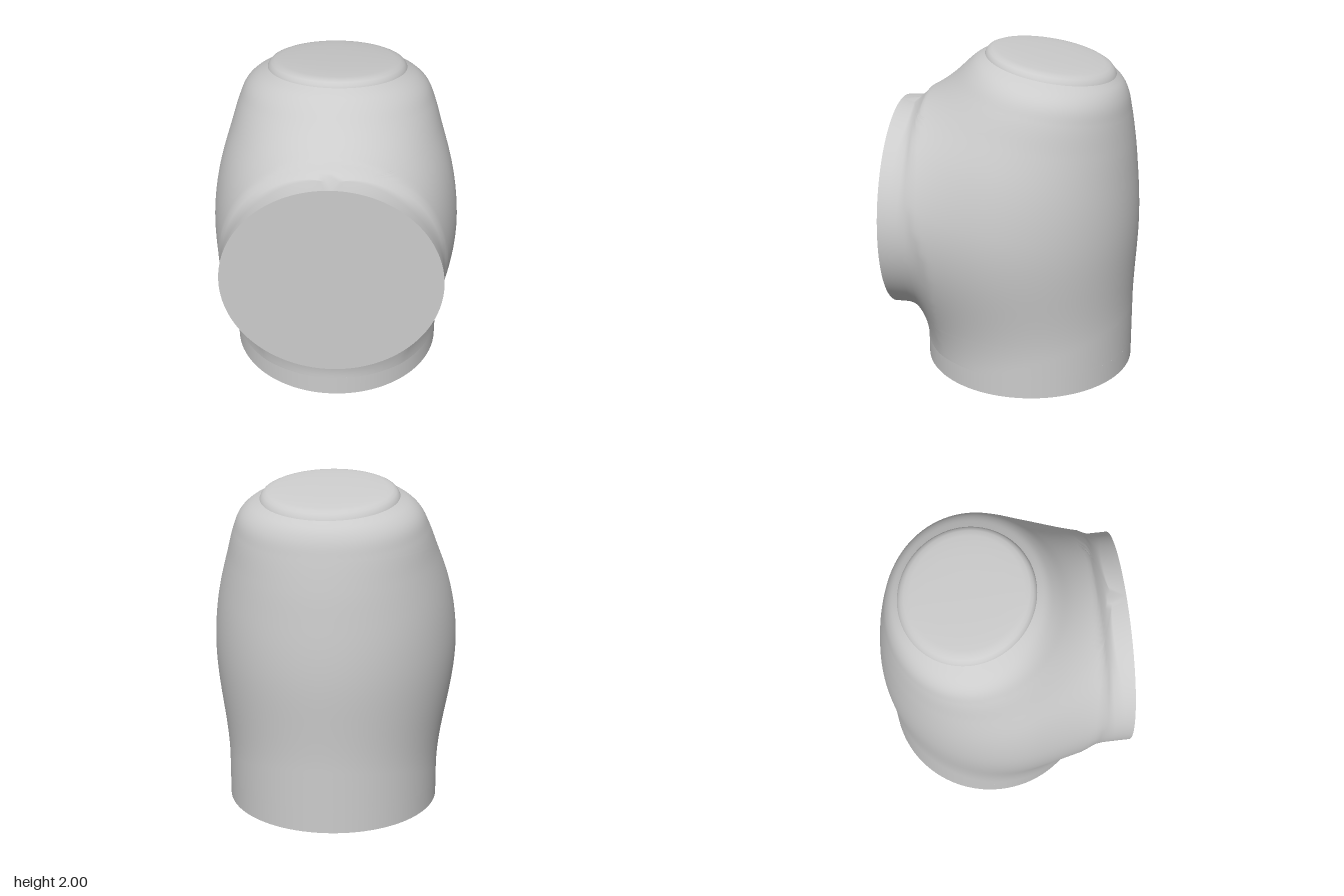
import * as THREE from 'three';
import { mergeVertices } from 'three/addons/utils/BufferGeometryUtils.js';

const R = 0.645;            // radius of the base and of the front opening
const MID = 0.985;          // height of the horizontal branch axis
const FRONT = 0.73;         // plane of the front face
const BASE_Z = -0.065;      // axis of the upright branch
const BAND = 0.13;          // height of the base band
const RIM = 1.965;          // height of the top rim (at its front)
const TILT = 0.165;         // slope of the top

// Upright branch: half width, back z and front z against height
const upright = new THREE.CubicInterpolant(
  [0, 0.8, 1.1, 1.4, 1.6, 1.78, 1.88, 1.93, RIM],
  [
    R, -0.71, 0.58,
    R, -0.71, 0.58,
    R, -0.71, 0.58,
    0.638, -0.70, 0.54,
    0.612, -0.69, 0.46,
    0.575, -0.665, 0.36,
    0.53, -0.64, 0.295,
    0.475, -0.61, 0.25,
    0.41, -0.57, 0.2,
  ], 3);

const slope = (z) => TILT * (z - 0.2);

// Smooth union of the upright branch and a round-ended horizontal branch
function field(x, y, z) {
  const s = THREE.MathUtils.clamp(y - slope(z), 0, RIM);
  const [rx, back, front] = upright.evaluate(s);
  const d1 = (Math.hypot(x / rx, (z - (back + front) / 2) / ((front - back) / 2)) - 1) * rx;
  const d2 = Math.hypot(x, y - MID, Math.min(0, z - 0.15)) - R;
  const fade = 0.3 - 0.12 * THREE.MathUtils.smoothstep(y, 0.7, 1.3);
  const k = 0.4 * THREE.MathUtils.clamp((FRONT - z) / fade, 1e-4, 1);
  const h = Math.max(0, k - Math.abs(d1 - d2));
  return Math.min(d1, d2) - h * h / (4 * k);
}

// One loop around the body, open at the front where the opening cuts it
function section(Y, segments) {
  const zc = BASE_Z - 0.12 * THREE.MathUtils.smoothstep(Y, 1, RIM);
  const a = THREE.MathUtils.smoothstep(Y, MID + R, RIM);
  const w = Math.sqrt(Math.max(0, R * R - (Y - MID) ** 2));
  const open = Math.abs(Y - MID) <= R + 1e-9;
  const start = open ? Math.atan2(w, FRONT - zc) : 0;
  const loop = [];
  for (let j = 0; j <= segments; j++) {
    if (open && (j === 0 || j === segments)) {
      loop.push([j ? -w : w, Y, FRONT]);
      continue;
    }
    const t = j === segments ? 0 : start + (2 * Math.PI - 2 * start) * j / segments;
    const at = (r) => {
      const z = Math.min(FRONT, zc + r * Math.cos(t));
      return [r * Math.sin(t), Y + a * slope(z), z];
    };
    let lo = 0.05, hi = 1.3;
    for (let n = 0; n < 30; n++) {
      const m = (lo + hi) / 2;
      if (zc + m * Math.cos(t) < FRONT && field(...at(m)) < 0) lo = m; else hi = m;
    }
    loop.push(at(lo));
  }
  return loop;
}

// Skin a stack of equal-length loops, bottom to top
function skin(loops) {
  const n = loops[0].length, index = [];
  for (let i = 0; i < loops.length - 1; i++)
    for (let j = 0; j < n - 1; j++) {
      const a = i * n + j, c = a + n;
      index.push(a, a + 1, c, a + 1, c + 1, c);
    }
  let g = new THREE.BufferGeometry();
  g.setAttribute('position', new THREE.Float32BufferAttribute(loops.flat(2), 3));
  g.setIndex(index);
  g = mergeVertices(g, 1e-5);
  g.computeVertexNormals();
  return g;
}

export function createModel() {
  const group = new THREE.Group();
  const material = new THREE.MeshStandardMaterial({ color: 0xcccccc });
  const add = (name, geometry, x = 0, y = 0, z = 0) => {
    const mesh = new THREE.Mesh(geometry, material);
    mesh.name = name;
    mesh.position.set(x, y, z);
    group.add(mesh);
  };

  // Body: rows below, across and above the opening
  const heights = [];
  for (let i = 0; i < 12; i++) heights.push(BAND + (MID - R - BAND) * i / 12);
  for (let i = 0; i <= 64; i++) heights.push(MID - R * Math.cos(Math.PI * i / 64));
  for (let i = 1; i <= 28; i++) heights.push(MID + R + (RIM - MID - R) * i / 28);
  const loops = heights.map((y) => section(y, 128));
  add('body', skin(loops));

  // Raised top cap: the rim loop shrunk and lifted
  const rim = loops[loops.length - 1];
  const cz = -0.185;
  const lip = [[1, 0], [0.985, 0.014], [0.95, 0.03], [0.9, 0.04], [0.82, 0.046], [0.6, 0.052], [0.3, 0.055], [0, 0.055]];
  const capLoops = lip.map(([k, up]) => rim.map(([x, , z]) => {
    const zz = cz + (z - cz) * k;
    return [x * k, RIM + slope(zz) + up, zz];
  }));
  add('topCap', skin(capLoops));

  // Flat front face and base band
  add('frontFace', new THREE.CircleGeometry(R, 128), 0, MID, FRONT);
  add('baseBand', new THREE.CylinderGeometry(R, R, BAND, 96), 0, BAND / 2, BASE_Z);
  return group;
}
